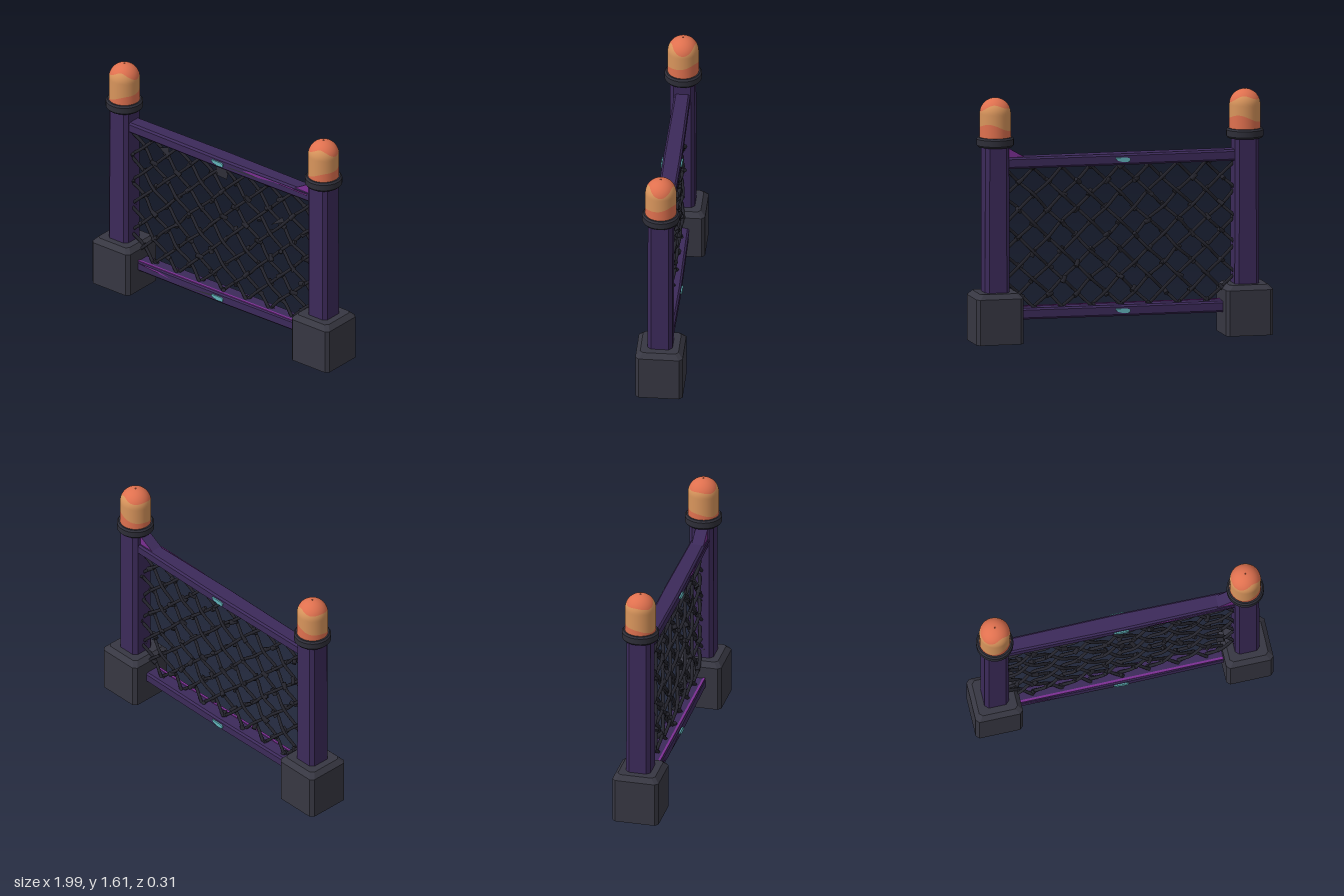
import * as THREE from 'three';
import { mergeGeometries } from 'three/addons/utils/BufferGeometryUtils.js';
import { ConvexGeometry } from 'three/addons/geometries/ConvexGeometry.js';
import { ParametricGeometry } from 'three/addons/geometries/ParametricGeometry.js';

const mat = (name, color, side = THREE.FrontSide) => {
  const m = new THREE.MeshStandardMaterial({ color, side });
  m.name = name;
  return m;
};

// Solid through octagonal layers: [y, half width, half depth, corner cut]
function layered(layers) {
  const pts = [];
  for (const [y, w, d, c] of layers)
    for (const sx of [-1, 1]) for (const sz of [-1, 1])
      pts.push(new THREE.Vector3(sx * (w - c), y, sz * d), new THREE.Vector3(sx * w, y, sz * (d - c)));
  return new ConvexGeometry(pts);
}

// Flat polygon from [x, y] pairs
const polygon = (pairs) => new THREE.Shape(pairs.map(([x, y]) => new THREE.Vector2(x, y)));

export function createModel() {
  const model = new THREE.Group();
  model.name = 'fence';
  const stone = mat('charcoal stone', 0x373742);
  const frame = mat('dark purple', 0x3c2a5a);
  const collarMat = mat('dark collar', 0x2e2e38);
  const wireMat = mat('black wire', 0x25252e, THREE.DoubleSide);
  const accent = mat('bright purple', 0x7b2f93, THREE.DoubleSide);
  const teal = mat('teal', 0x62b4bc);
  const amber = mat('amber', 0xd9955c);
  const coral = mat('coral', 0xe0714f);

  const add = (name, geo, material, parent = model) => {
    const mesh = new THREE.Mesh(geo, material);
    mesh.name = name;
    parent.add(mesh);
    return mesh;
  };

  let seed = 7;
  const rand = () => (seed = (seed * 16807) % 2147483647) / 2147483647 - 0.5;

  // Lamp: a domed cylinder in three colour bands with wavy borders
  const R = 0.102, shoulder = 1.508;
  const lower = (a) => 1.405 + 0.032 * Math.cos(a - 2.3) + 0.008 * Math.sin(3 * a);
  const upper = (a) => 1.55 - 0.015 * Math.cos(2 * a + 2.9) + 0.012 * Math.sin(3 * a);
  const bottom = () => 1.345, top = () => shoulder + R;
  const band = (from, to) => new ParametricGeometry((u, v, p) => {
    const a = u * Math.PI * 2;
    const t = Math.sin(v * Math.PI / 2);
    const y = THREE.MathUtils.lerp(from(a), to(a), t);
    const h = Math.max(0, y - shoulder);
    const r = Math.sqrt(Math.max(1e-8, R * R - h * h));
    p.set(Math.sin(a) * r, y, Math.cos(a) * r);
  }, 40, 12);

  const baseGeo = layered([[0, 0.158, 0.155, 0.022], [0.3, 0.158, 0.155, 0.022], [0.332, 0.128, 0.125, 0.02]]);
  const postGeo = layered([[0.3, 0.082, 0.082, 0.024], [1.3, 0.08, 0.08, 0.024]]);
  const collarGeo = new THREE.CylinderGeometry(0.122, 0.122, 0.04, 28);
  const rimGeo = new THREE.CylinderGeometry(0.112, 0.122, 0.012, 28);
  const bands = [['lampBottom', band(bottom, lower), coral], ['lampBody', band(lower, upper), amber],
    ['lampTop', band(upper, top), coral]];

  for (const side of [-1, 1]) {
    const g = new THREE.Group();
    g.name = side > 0 ? 'leftPost' : 'rightPost';
    g.position.x = side * 0.838;
    add('base', baseGeo, stone, g);
    add('shaft', postGeo, frame, g);
    add('collar', collarGeo, collarMat, g).position.y = 1.32;
    add('collarRim', rimGeo, collarMat, g).position.y = 1.346;
    const under = add('collarUnderside', rimGeo, collarMat, g);
    under.rotation.x = Math.PI;
    under.position.y = 1.294;
    for (const [name, geo, m] of bands) add(name, geo, m, g);
    model.add(g);
  }

  // Rails, slightly thicker in the middle, with teal tabs on both faces
  const railGeo = layered([[-0.78, 0.037, 0.052, 0.012], [0, 0.037, 0.06, 0.012], [0.78, 0.037, 0.052, 0.012]]);
  railGeo.rotateZ(Math.PI / 2);
  const tabShape = polygon([[-0.05, 0.008], [-0.035, -0.006], [0, -0.016], [0.045, -0.014],
    [0.05, 0.006], [0.03, 0.014], [-0.045, 0.014]]);
  const tabGeo = new THREE.ExtrudeGeometry(tabShape, { depth: 0.009, bevelEnabled: false });
  for (const [name, y] of [['topRail', 1.179], ['bottomRail', 0.183]]) {
    const g = new THREE.Group();
    g.name = name;
    g.position.y = y;
    add('beam', railGeo, frame, g);
    for (const s of [1, -1]) {
      const tab = add('tab', tabGeo, teal, g);
      tab.rotation.y = s > 0 ? 0 : Math.PI;
      tab.position.set(-0.005, 0, s * 0.06);
    }
    model.add(g);
  }

  // Brace in the corner between top rail and left post
  const brace = new THREE.ExtrudeGeometry(polygon([[0.62, 1.2], [0.77, 1.2], [0.77, 1.285]]),
    { depth: 0.08, bevelEnabled: false });
  add('cornerBrace', brace.translate(0, 0, -0.032), [accent, frame]);

  // Painted slivers on the rail fronts
  const sliver = (name, pts, material, z = 0.0615) =>
    add(name, new THREE.ShapeGeometry(polygon(pts)), material).position.z = z;
  sliver('topRailStripe', [[0.2, 1.192], [0.34, 1.185], [0.5, 1.204], [0.26, 1.204]], accent);
  sliver('topRailStripeEnd', [[0.45, 1.2], [0.75, 1.192], [0.75, 1.204], [0.5, 1.206]], accent);
  sliver('bottomRailStripe', [[-0.69, 0.21], [-0.4, 0.184], [-0.5, 0.207], [-0.69, 0.212]], accent);
  sliver('bottomRailShade', [[-0.4, 0.163], [-0.05, 0.18], [-0.06, 0.192], [-0.2, 0.178]], collarMat);
  sliver('topRailShade', [[0.06, 1.172], [0.3, 1.178], [0.38, 1.19], [0.1, 1.18]], collarMat);
  const edge = add('bottomRailEdge', new THREE.BoxGeometry(1.36, 0.005, 0.016), accent);
  edge.position.set(0, 0.222, 0.044);

  // Torn scraps hanging below the top rail
  sliver('scrapMiddle', [[-0.06, 1.15], [-0.04, 1.06], [0.04, 1.055], [0.05, 1.1], [0, 1.15]], collarMat, 0.02);
  sliver('scrapSide', [[-0.53, 1.1], [-0.45, 1.05], [-0.445, 1.13]], collarMat, 0.02);
  sliver('scrapLow', [[0.4, 0.84], [0.52, 0.9], [0.5, 0.93]], collarMat, 0.012);

  // Woven wire net: both diagonal families follow one lattice of crossings
  const dx = 0.1, dy = 0.0925, y0 = 0.215;
  const parts = [];
  for (const slope of [-1, 1]) {
    for (let n = -4; n <= 9; n++) {
      const pts = [];
      for (let i = -8; i <= 8; i++) {
        const j = slope * i + 2 * n;
        if (j < 0 || j > 10) continue;
        const weave = slope * (i % 2 ? 1 : -1) * 0.011;
        pts.push(new THREE.Vector3(i * dx * 0.97 + rand() * 0.014, y0 + j * dy + rand() * 0.014, weave));
      }
      if (pts.length < 2) continue;
      parts.push(new THREE.TubeGeometry(new THREE.CatmullRomCurve3(pts), pts.length * 4, 0.0115, 6));
    }
  }
  // Small twisted knots at the crossings
  for (let i = -8; i <= 8; i++) {
    for (let j = 0; j <= 10; j++) {
      if ((i + j) % 2) continue;
      const knot = new THREE.CylinderGeometry(0.014, 0.017, 0.05, 6);
      knot.rotateX(rand() * 1.6);
      knot.rotateZ((rand() > 0 ? 1 : -1) * 0.8 + rand() * 0.8);
      parts.push(knot.translate(i * dx * 0.97 + rand() * 0.02, y0 + j * dy + rand() * 0.02, rand() * 0.03));
    }
  }
  add('wireNet', mergeGeometries(parts), wireMat);

  return model;
}
